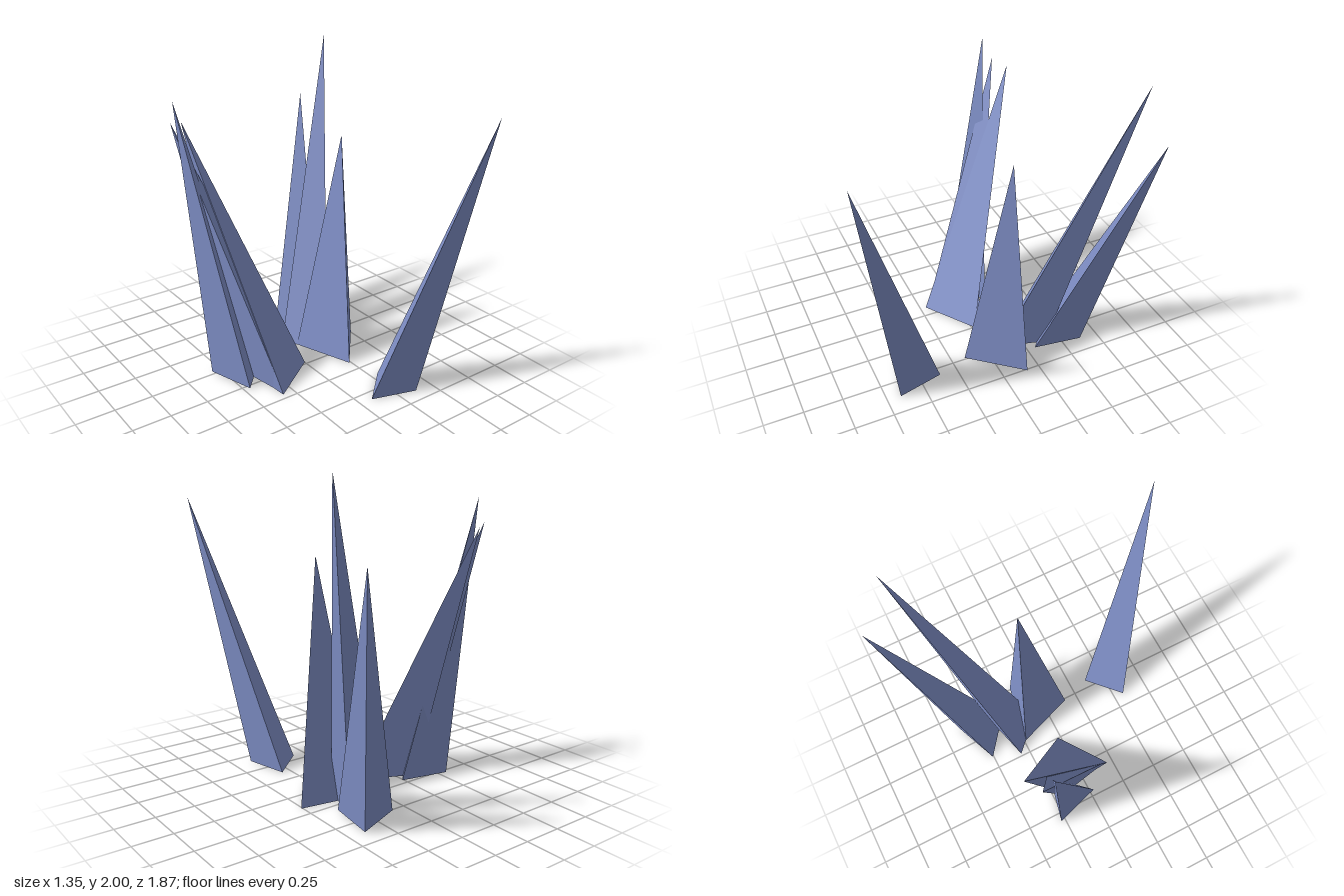
import * as THREE from 'three';

// Each spike: base centre [x, z], one base corner [x, z], tip [x, y, z]
const SPIKES = [
  { name: 'frontLeftSpike', base: [0.257, 0.533], corner: [0.087, 0.572], tip: [0.63, 1.78, 0.93] },
  { name: 'tallBackLeftSpike', base: [0.192, -0.266], corner: [0.017, -0.313], tip: [0.67, 2.0, -0.725] },
  { name: 'wideLeftSpike', base: [0.28, -0.08], corner: [0.51, -0.164], tip: [0.345, 1.495, -0.1] },
  { name: 'farBackLeftSpike', base: [0.275, -0.481], corner: [0.09, -0.507], tip: [0.62, 1.56, -0.935] },
  { name: 'innerRightSpike', base: [-0.23, 0], corner: [0.002, -0.02], tip: [-0.565, 1.635, -0.505] },
  { name: 'middleRightSpike', base: [-0.246, -0.013], corner: [-0.025, -0.055], tip: [-0.664, 1.655, -0.446] },
  { name: 'outerRightSpike', base: [-0.419, -0.153], corner: [-0.46, 0.03], tip: [-0.675, 1.8, -0.38] },
];

// Three-sided cone standing on y = 0, sheared so that its tip leans outwards
function spikeGeometry({ base, corner, tip }) {
  const dx = corner[0] - base[0];
  const dz = corner[1] - base[1];
  const height = tip[1];
  const cone = new THREE.ConeGeometry(Math.hypot(dx, dz), height, 3, 1, false, Math.atan2(dx, dz));
  cone.translate(0, height / 2, 0);
  const leanX = (tip[0] - base[0]) / height;
  const leanZ = (tip[2] - base[1]) / height;
  const p = cone.attributes.position;
  for (let i = 0; i < p.count; i++) {
    const y = p.getY(i);
    p.setXYZ(i, p.getX(i) + base[0] + leanX * y, y, p.getZ(i) + base[1] + leanZ * y);
  }
  const flat = cone.toNonIndexed();
  flat.computeVertexNormals();
  return flat;
}

export function createModel() {
  const group = new THREE.Group();
  group.name = 'crystalSpikes';
  const crystal = new THREE.MeshStandardMaterial({ color: 0x8090c8, flatShading: true });
  crystal.name = 'periwinkle blue';

  for (const spike of SPIKES) {
    const mesh = new THREE.Mesh(spikeGeometry(spike), crystal);
    mesh.name = spike.name;
    group.add(mesh);
  }
  return group;
}
